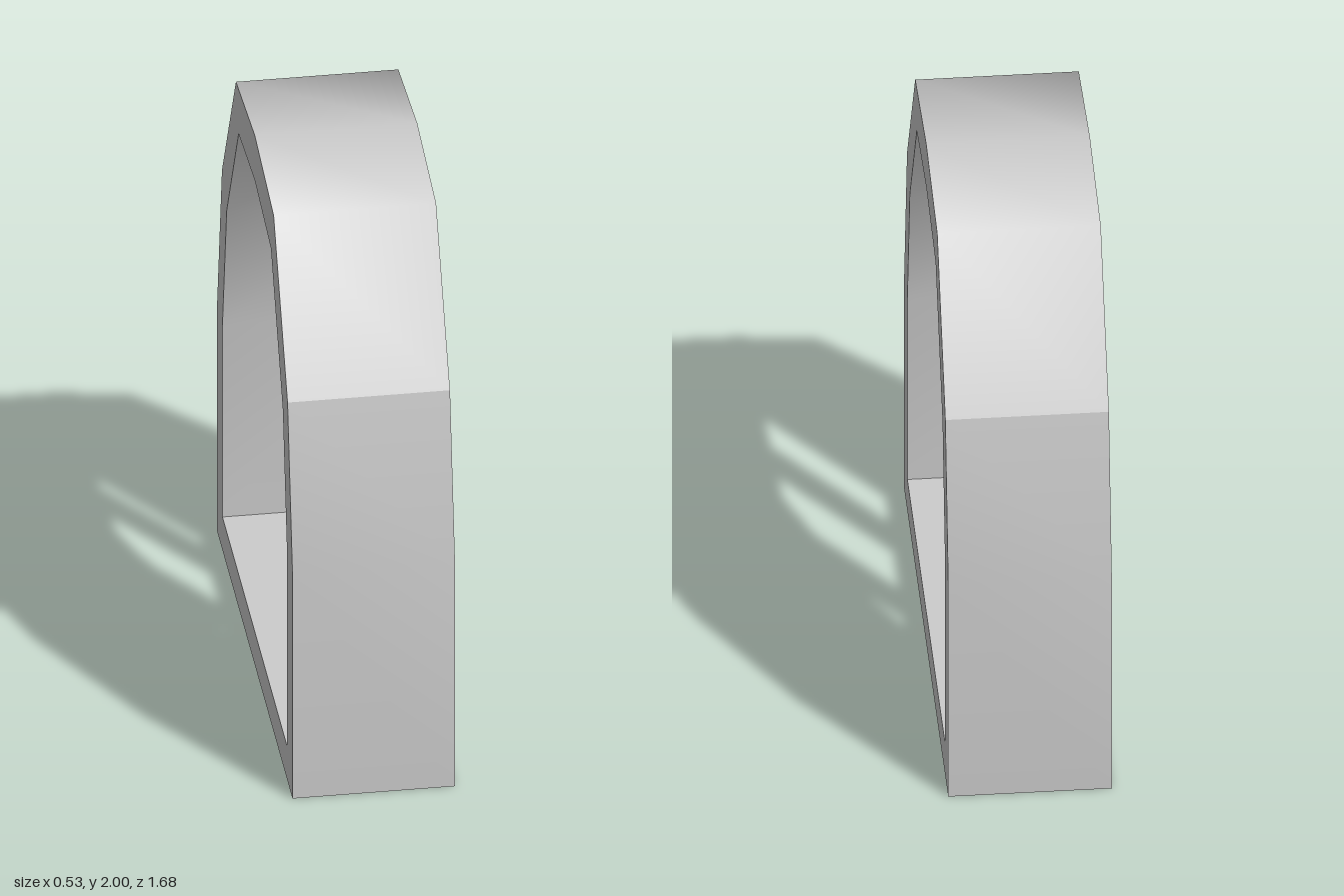
import * as THREE from 'three';

const HALF_DEPTH = 0.265;

// Half profiles as [z, y], from the base up to the apex
const OUTER = [[0.84, 0], [0.84, 0.85], [0.73, 1.43], [0.42, 1.95], [0, 2]];
const INNER = [[0.72, 0.125], [0.72, 0.85], [0.625, 1.34], [0.36, 1.79], [0, 1.83]];

// Complete the profile by mirroring it across z = 0
const mirrored = (half) => [...half, ...half.slice(0, -1).reverse().map(([z, y]) => [-z, y])];

export function createModel() {
  const model = new THREE.Group();
  model.name = 'barredArchWindow';
  const material = new THREE.MeshStandardMaterial({ color: 0xcccccc });
  const add = (parent, geometry, name) => {
    const mesh = new THREE.Mesh(geometry, material);
    mesh.name = name;
    parent.add(mesh);
    return mesh;
  };

  // Smoothly shaded wall running through the depth along a piece of profile
  const wall = (points, inward) => {
    const position = [], index = [];
    points.forEach(([z, y], i) => {
      position.push(-HALF_DEPTH, y, z, HALF_DEPTH, y, z);
      if (i === 0) return;
      const a = 2 * i - 2, b = a + 1, c = a + 2, d = a + 3;
      index.push(...(inward ? [a, c, b, b, c, d] : [a, b, c, b, d, c]));
    });
    const geometry = new THREE.BufferGeometry();
    geometry.setAttribute('position', new THREE.Float32BufferAttribute(position, 3));
    geometry.setIndex(index);
    geometry.computeVertexNormals();
    return geometry;
  };

  // Frame walls, split where the surface has a hard edge
  const frame = new THREE.Group();
  frame.name = 'archFrame';
  model.add(frame);
  const outer = mirrored(OUTER), inner = mirrored(INNER);
  const addWalls = (points, cuts, inward, name) => {
    for (let i = 0; i < cuts.length - 1; i++) {
      add(frame, wall(points.slice(cuts[i], cuts[i + 1] + 1), inward), name + (i + 1));
    }
    add(frame, wall([points[points.length - 1], points[0]], inward), name + 'Base');
  };
  addWalls(outer, [0, 2, 6, 8], false, 'outerWall');
  addWalls(inner, [0, 3, 5, 8], true, 'innerWall');

  // Flat faces of the frame with the arched opening
  const toVectors = (points) => points.map(([z, y]) => new THREE.Vector2(-z, y));
  const shape = new THREE.Shape(toVectors(outer));
  shape.holes.push(new THREE.Path(toVectors(inner)));
  const faceGeometry = new THREE.ShapeGeometry(shape);
  for (const side of [1, -1]) {
    const face = add(frame, faceGeometry, side > 0 ? 'leftFace' : 'rightFace');
    face.rotation.y = side * Math.PI / 2;
    face.position.x = side * HALF_DEPTH;
  }

  // Upright bars, sunk a little into the sill and the arch
  const bars = new THREE.Group();
  bars.name = 'bars';
  model.add(bars);
  [[0.485, 1.69], [0.16, 1.87], [-0.2, 1.87], [-0.5, 1.67]].forEach(([z, top], i) => {
    const bottom = 0.08;
    const bar = add(bars, new THREE.CylinderGeometry(0.05, 0.05, top - bottom, 12), 'bar' + (i + 1));
    bar.position.set(0, (top + bottom) / 2, z);
  });

  return model;
}
